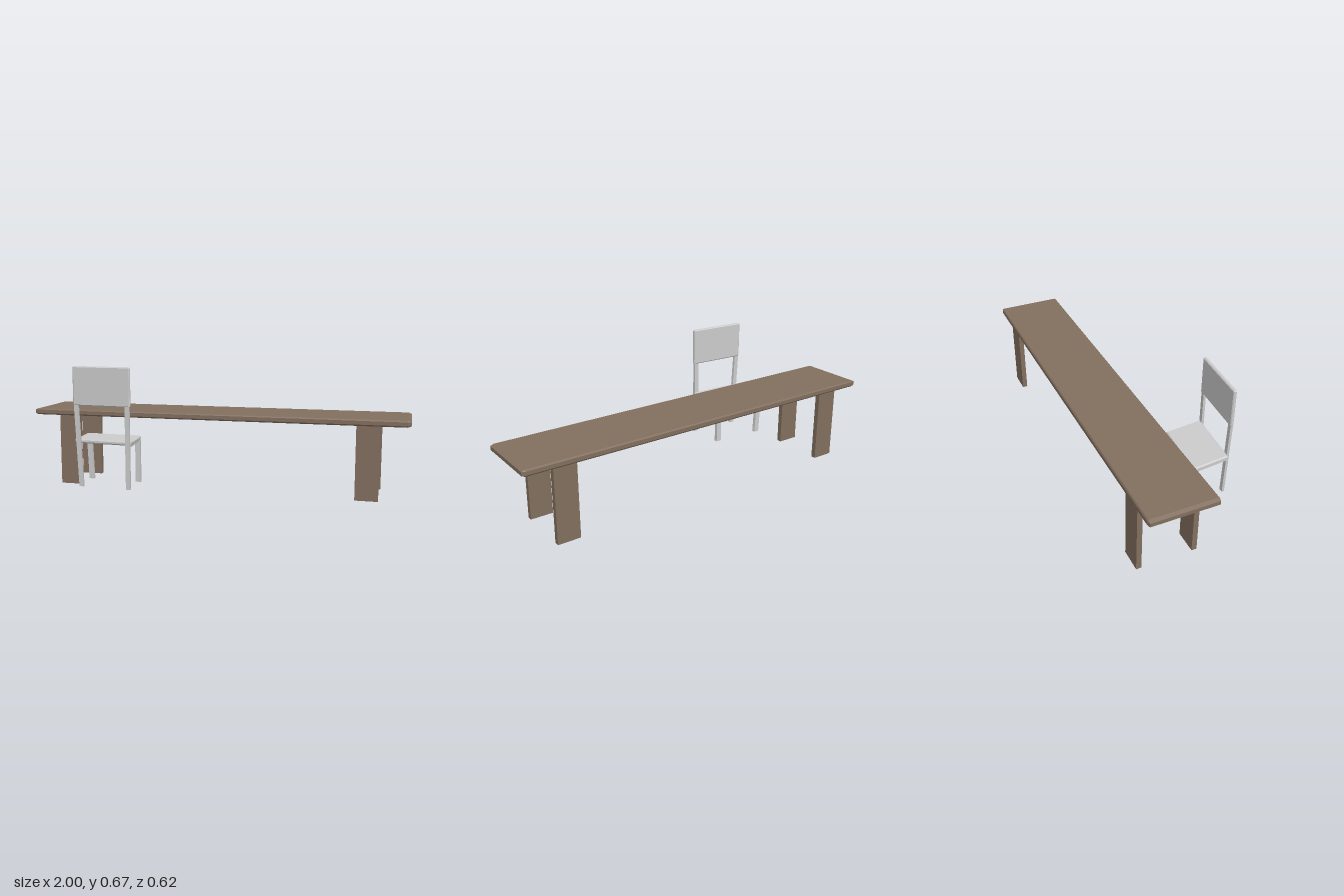
import * as THREE from 'three';
import { ConvexGeometry } from 'three/addons/geometries/ConvexGeometry.js';

const wood = new THREE.MeshStandardMaterial({ color: 0x826f5f, flatShading: true });
const grey = new THREE.MeshStandardMaterial({ color: 0xcccccc, flatShading: true });

// Box with every edge chamfered; the chamfer can differ along each axis.
function chamferBox(size, cut) {
  const points = [];
  for (const sx of [-1, 1]) for (const sy of [-1, 1]) for (const sz of [-1, 1]) {
    const s = [sx, sy, sz];
    for (let face = 0; face < 3; face++) {
      const p = s.map((v, i) => v * (size[i] / 2 - (i === face ? 0 : cut[i])));
      points.push(new THREE.Vector3(...p));
    }
  }
  return new ConvexGeometry(points);
}

function add(group, name, geometry, material, x, y, z) {
  const mesh = new THREE.Mesh(geometry, material);
  mesh.name = name;
  mesh.position.set(x, y, z);
  group.add(mesh);
  return mesh;
}

function createTable() {
  const table = new THREE.Group();
  table.name = 'table';
  add(table, 'tableTop', chamferBox([2, 0.033, 0.338], [0.018, 0.007, 0.005]), wood, 0, 0.3965, -0.141);
  // Four plank legs
  for (const [side, x] of [['left', 0.793], ['right', -0.802]]) {
    for (const [end, z] of [['Front', -0.0015], ['Back', -0.282]]) {
      add(table, `${side}${end}TableLeg`, new THREE.BoxGeometry(0.116, 0.381, 0.026), wood, x, 0.1905, z);
    }
  }
  return table;
}

function createChair() {
  const chair = new THREE.Group();
  chair.name = 'chair';
  // The chair stands slightly skewed: x and z each lean into the other.
  const skew = new THREE.Matrix4().set(
    1, 0, 0.09, 0,
    0, 1, 0, 0,
    0.062, 0, 1, 0,
    0, 0, 0, 1);
  const part = (name, geometry, x, y, z) => {
    const baked = geometry.translate(x, y, z).applyMatrix4(skew);
    add(chair, name, baked, grey, -0.504, 0, 0.191);
  };
  // Upright bar from y0 to y1 whose foot is shifted sideways by lean
  const upright = (width, depth, y0, y1, lean) => {
    const g = new THREE.BoxGeometry(width, y1 - y0, depth);
    const p = g.attributes.position;
    for (let i = 0; i < p.count; i++) if (p.getY(i) < 0) p.setX(i, p.getX(i) + lean);
    g.computeVertexNormals();
    return g;
  };

  part('seat', chamferBox([0.307, 0.021, 0.201], [0.006, 0.006, 0.005]), 0, 0.2885, 0);
  part('backrest', chamferBox([0.31, 0.197, 0.019], [0.005, 0.005, 0.004]), 0.001, 0.5685, 0.1025);

  // Legs, back posts and side rails
  for (const [side, s] of [['left', 1], ['right', -1]]) {
    const lean = s < 0 ? 0.02 : 0;
    part(`${side}BackPost`, upright(0.024, 0.014, 0.057, 0.475, lean), 0.139 * s, 0.266, 0.103);
    part(`${side}FrontLeg`, upright(0.028, 0.017, 0.056, 0.28, lean / 2), 0.139 * s, 0.168, -0.088);
    part(`${side}SideRail`, new THREE.BoxGeometry(0.018, 0.014, 0.19), 0.137 * s, 0.274, 0.007);
  }
  return chair;
}

export function createModel() {
  const model = new THREE.Group();
  model.name = 'tableWithChair';
  model.add(createTable(), createChair());
  return model;
}
